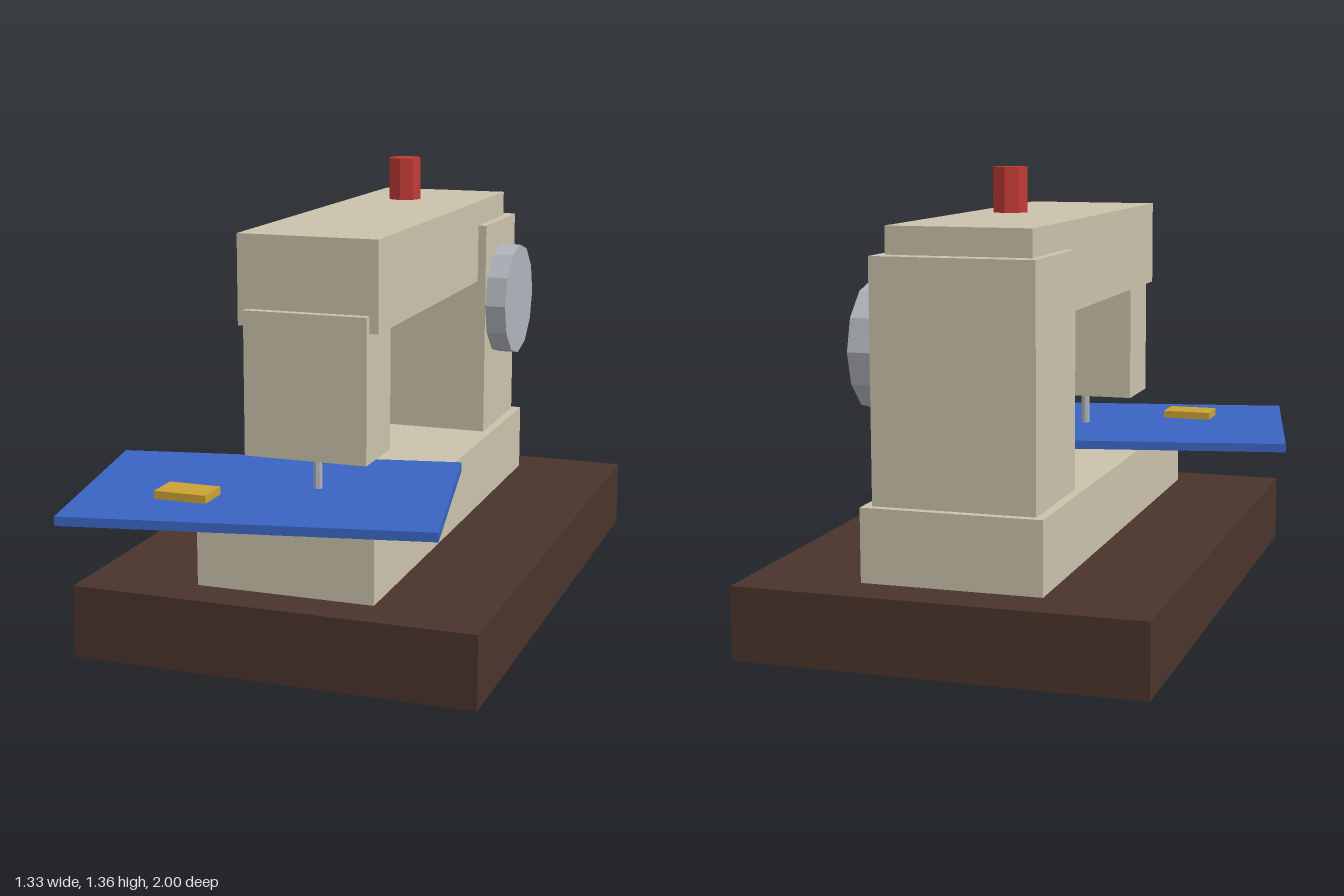
import * as THREE from 'three';

const material = (name, color) => {
  const m = new THREE.MeshStandardMaterial({ color, flatShading: true });
  m.name = name;
  return m;
};

export function createModel() {
  const group = new THREE.Group();
  const wood = material('dark wood', 0x4a342c);
  const cream = material('cream enamel', 0xcac2ab);
  const steel = material('steel', 0xb0b3ba);
  const blue = material('blue cloth', 0x3a64c2);
  const red = material('red thread', 0xc03a35);
  const gold = material('gold', 0xcba234);

  const add = (name, geometry, mat, x, y, z) => {
    const mesh = new THREE.Mesh(geometry, mat);
    mesh.name = name;
    mesh.position.set(x, y, z);
    group.add(mesh);
    return mesh;
  };
  // Box given by its limits on each axis
  const box = (name, mat, [x0, x1], [y0, y1], [z0, z1]) =>
    add(name, new THREE.BoxGeometry(x1 - x0, y1 - y0, z1 - z0), mat,
      (x0 + x1) / 2, (y0 + y1) / 2, (z0 + z1) / 2);

  // Machine body
  box('base', wood, [-0.536, 0.664], [0, 0.215], [-1, 0.872]);
  box('bed', cream, [-0.203, 0.33], [0.215, 0.43], [-0.865, 0.745]);
  box('column', cream, [-0.176, 0.303], [0.43, 1.127], [-0.84, -0.466]);
  box('arm', cream, [-0.15, 0.276], [0.941, 1.207], [-0.785, 0.555]);
  box('needleHead', cream, [-0.122, 0.25], [0.565, 0.991], [0.37, 0.582]);

  // Needle, handwheel and thread spool
  add('needle', new THREE.CylinderGeometry(0.014, 0.014, 0.16, 8), steel, 0.063, 0.51, 0.475);
  const wheel = add('handwheel', new THREE.CylinderGeometry(0.186, 0.186, 0.068, 12), steel, 0.337, 0.859, -0.652);
  wheel.rotation.z = -Math.PI / 2;
  add('spool', new THREE.CylinderGeometry(0.053, 0.053, 0.133, 8), red, 0.063, 1.289, -0.333);

  // Turned cloth with a small patch on top
  const cloth = add('cloth', new THREE.BoxGeometry(1.067, 0.027, 0.748), blue, -0.071, 0.4437, 0.524);
  cloth.rotation.y = 0.2;
  box('patch', gold, [-0.337, -0.177], [0.455, 0.481], [0.635, 0.741]);

  return group;
}
